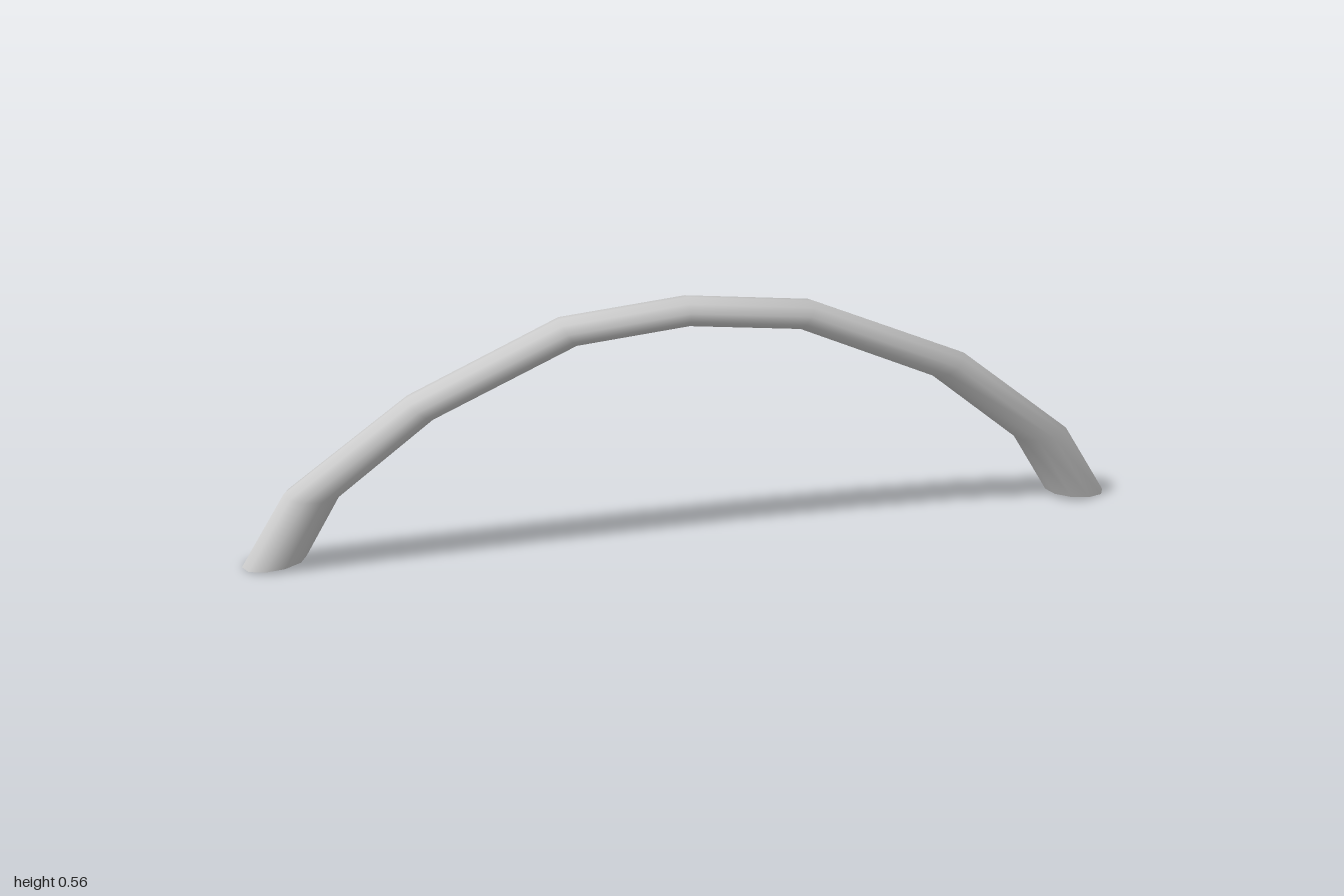
import * as THREE from 'three';

// Rings along the arch from -x to +x: outer x, outer y, inner x, inner y
const RINGS = [
  [-1, 0, -0.858, 0.014],
  [-0.898, 0.168, -0.775, 0.158],
  [-0.622, 0.372, -0.562, 0.325],
  [-0.284, 0.53, -0.246, 0.471],
  [0, 0.56, 0, 0.497],
  [0.284, 0.53, 0.246, 0.471],
  [0.64, 0.377, 0.567, 0.328],
  [0.898, 0.168, 0.772, 0.158],
  [1, 0, 0.858, 0.014],
];
const SIDES = 10;
const HALF_DEPTH = 0.048;

// Open tube lofted through elliptical rings, sharing vertices for smooth shading
function loftArch() {
  const positions = [];
  const index = [];
  RINGS.forEach(([ox, oy, ix, iy], r) => {
    for (let s = 0; s < SIDES; s++) {
      const a = (s / SIDES) * Math.PI * 2;
      const t = (1 - Math.cos(a)) / 2;
      positions.push(ox + (ix - ox) * t, oy + (iy - oy) * t, HALF_DEPTH * Math.sin(a));
      if (r === RINGS.length - 1) continue;
      const p = r * SIDES + s;
      const q = r * SIDES + ((s + 1) % SIDES);
      index.push(p, q, p + SIDES, q, q + SIDES, p + SIDES);
    }
  });
  const geometry = new THREE.BufferGeometry();
  geometry.setAttribute('position', new THREE.Float32BufferAttribute(positions, 3));
  geometry.setIndex(index);
  geometry.computeVertexNormals();
  return geometry;
}

export function createModel() {
  const group = new THREE.Group();
  group.name = 'archHandle';
  // Both ends are open, so the inside shows too
  const material = new THREE.MeshStandardMaterial({ color: 0xcccccc, side: THREE.DoubleSide });
  const arch = new THREE.Mesh(loftArch(), material);
  arch.name = 'archTube';
  group.add(arch);
  return group;
}
